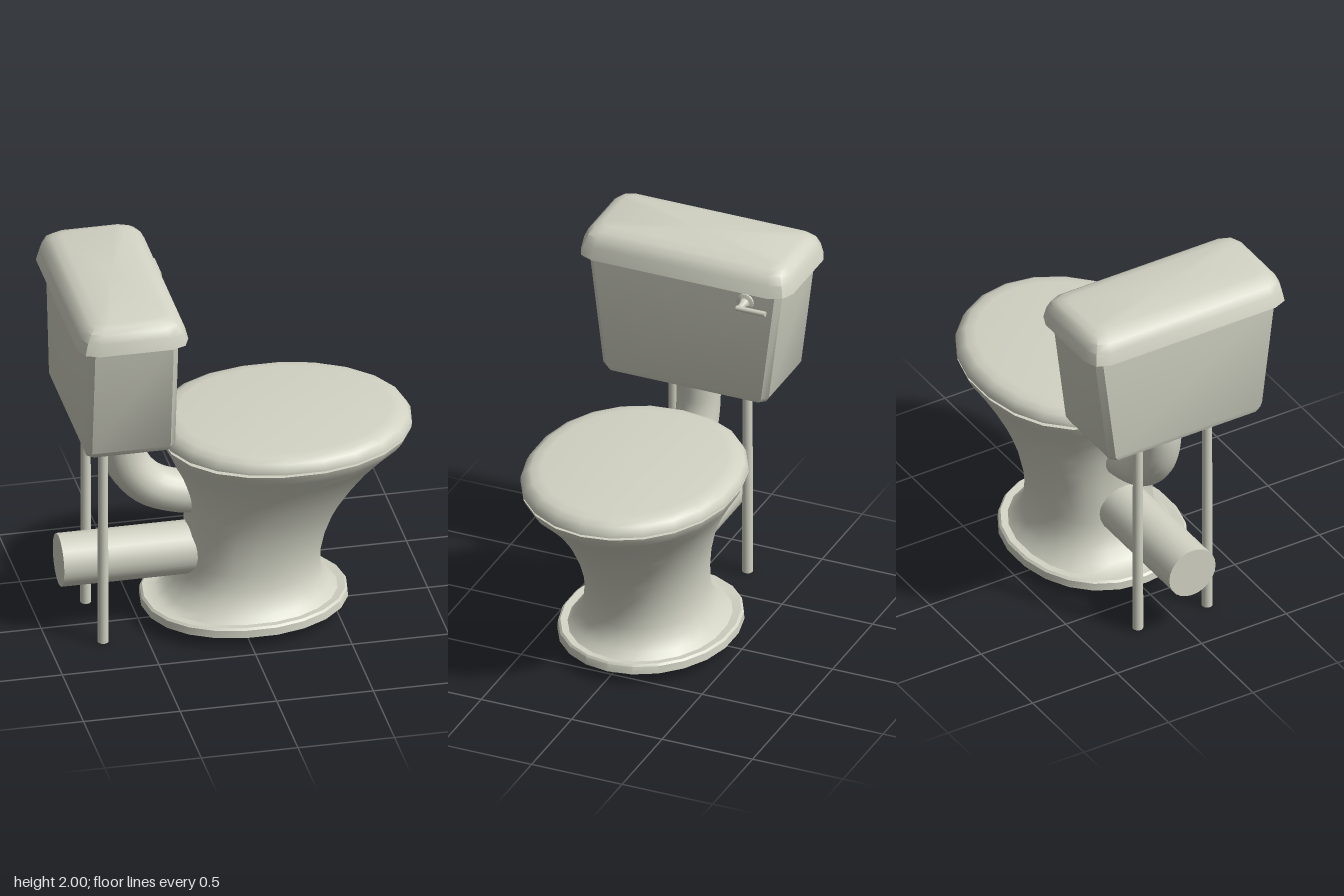
import * as THREE from 'three';
import { toCreasedNormals } from 'three/addons/utils/BufferGeometryUtils.js';

const porcelain = new THREE.MeshStandardMaterial({ color: 0xd2d3c4 });
porcelain.name = 'porcelain';

// Skin a stack of equal-length rings (bottom to top)
function loft(rings, crease = 0.7) {
  const n = rings[0].length, index = [];
  for (let i = 0; i < rings.length - 1; i++) {
    for (let j = 0; j < n; j++) {
      const k = (j + 1) % n;
      const a = i * n + j, b = i * n + k, c = a + n, d = b + n;
      index.push(a, c, b, b, c, d);
    }
  }
  const g = new THREE.BufferGeometry();
  g.setAttribute('position', new THREE.Float32BufferAttribute(rings.flat(2), 3));
  g.setIndex(index);
  return toCreasedNormals(g, crease);
}

// Oval ring, with a blunter curve on its back (-x) half
function oval(y, x0, x1, rz, backPower = 2.2, sides = 22) {
  const cx = (x0 + x1) / 2, rx = (x1 - x0) / 2, ring = [];
  for (let i = 0; i < sides; i++) {
    const t = (i / sides) * Math.PI * 2, c = Math.cos(t), s = Math.sin(t);
    const e = 2 / (c < 0 ? backPower : 2);
    ring.push([
      cx + rx * Math.sign(c) * Math.abs(c) ** e, y,
      -0.013 + rz * Math.sign(s) * Math.abs(s) ** e]);
  }
  return ring;
}

// Rectangle ring with rounded (or, with one segment, chamfered) corners
function roundRect(y, cx, hx, hz, r, seg) {
  const ring = [];
  [[1, 1], [-1, 1], [-1, -1], [1, -1]].forEach(([sx, sz], q) => {
    for (let i = 0; i <= seg; i++) {
      const t = (q + i / seg) * Math.PI / 2;
      ring.push([cx + sx * (hx - r) + r * Math.cos(t), y, sz * (hz - r) + r * Math.sin(t)]);
    }
  });
  return ring;
}

const collapse = (ring) => {
  const m = [0, 1, 2].map((k) => ring.reduce((s, p) => s + p[k], 0) / ring.length);
  return ring.map(() => m);
};
const capped = (rings) => [collapse(rings[0]), ...rings, collapse(rings[rings.length - 1])];

export function createModel() {
  const model = new THREE.Group();
  const add = (name, geometry, x = 0, y = 0, z = 0) => {
    const mesh = new THREE.Mesh(geometry, porcelain);
    mesh.name = name;
    mesh.position.set(x, y, z);
    model.add(mesh);
    return mesh;
  };

  // Bowl: y, back x, front x, half width
  const wall = [
    [0.11, -0.40, 0.53, 0.40], [0.14, -0.35, 0.49, 0.37], [0.19, -0.305, 0.455, 0.337],
    [0.25, -0.27, 0.442, 0.314], [0.33, -0.257, 0.444, 0.305], [0.42, -0.253, 0.465, 0.308],
    [0.52, -0.25, 0.505, 0.322], [0.62, -0.252, 0.56, 0.35], [0.72, -0.265, 0.63, 0.388],
    [0.81, -0.287, 0.705, 0.43], [0.89, -0.32, 0.79, 0.475], [0.96, -0.358, 0.875, 0.52],
    [1.0, -0.38, 0.905, 0.543], [1.02, -0.385, 0.912, 0.55]];
  const liner = wall.slice(1, -2).reverse()
    .map(([y, a, b, w]) => oval(y, a + 0.03, b - 0.03, w - 0.03, 2.3));
  const foot = [
    oval(0.065, -0.34, 0.46, 0.345), oval(0.065, -0.48, 0.585, 0.455),
    oval(0.105, -0.477, 0.58, 0.452), oval(0.115, -0.465, 0.57, 0.44)];
  const shell = wall.map((w) => oval(...w, 2.3));
  add('bowl', loft(capped([...liner, ...foot, ...shell])));

  // Seat lid
  add('seatLid', loft(capped([
    oval(1.022, -0.33, 0.86, 0.5), oval(1.034, -0.39, 0.915, 0.553),
    oval(1.05, -0.39, 0.913, 0.553), oval(1.085, -0.37, 0.893, 0.535),
    oval(1.104, -0.335, 0.86, 0.502), oval(1.111, -0.28, 0.805, 0.45)])));

  // Cistern tank and its cover
  const cx = -0.633;
  add('tank', loft(capped([
    roundRect(1.19, cx, 0.2, 0.415, 0.03, 1), roundRect(1.2, cx, 0.222, 0.438, 0.03, 1),
    roundRect(1.23, cx, 0.233, 0.457, 0.03, 1), roundRect(1.88, cx, 0.233, 0.537, 0.03, 1)])));
  add('tankCover', loft(capped([
    roundRect(1.857, cx, 0.288, 0.586, 0.1, 2), roundRect(1.92, cx, 0.272, 0.574, 0.095, 2),
    roundRect(1.963, cx, 0.25, 0.556, 0.085, 2), roundRect(1.987, cx, 0.215, 0.53, 0.07, 2),
    roundRect(2.0, cx, 0.165, 0.49, 0.05, 2)])));

  // Flush bend from tank to bowl
  const bend = new THREE.CatmullRomCurve3([
    [-0.585, 1.21], [-0.585, 1.02], [-0.545, 0.89], [-0.445, 0.775], [-0.3, 0.715], [-0.21, 0.7],
  ].map(([x, y]) => new THREE.Vector3(x, y, 0)));
  add('flushPipe', new THREE.TubeGeometry(bend, 20, 0.112, 20));

  // Outlet pipe
  add('outletPipe', new THREE.CylinderGeometry(0.137, 0.137, 0.74, 24), -0.54, 0.384, 0)
    .rotation.z = Math.PI / 2;

  // Support rods
  for (const [z, y0] of [[0.2, 0], [-0.21, 0.01]]) {
    const h = 1.22 - y0;
    add('supportRod', new THREE.CylinderGeometry(0.025, 0.028, h, 14), -0.724, y0 + h / 2, z);
  }

  // Flush handle: rosette, flared stem and lever
  const handle = [[0, 0], [0.046, 0], [0.046, 0.012], [0.026, 0.018], [0.018, 0.04], [0.015, 0.09], [0, 0.09]]
    .map(([r, y]) => new THREE.Vector2(r, y));
  add('handleStem', toCreasedNormals(new THREE.LatheGeometry(handle, 16), 0.7), -0.402, 1.78, -0.342)
    .rotation.z = -Math.PI / 2;
  add('handleLever', new THREE.CylinderGeometry(0.014, 0.014, 0.16, 12), -0.317, 1.782, -0.408)
    .rotation.x = Math.PI / 2;

  return model;
}
